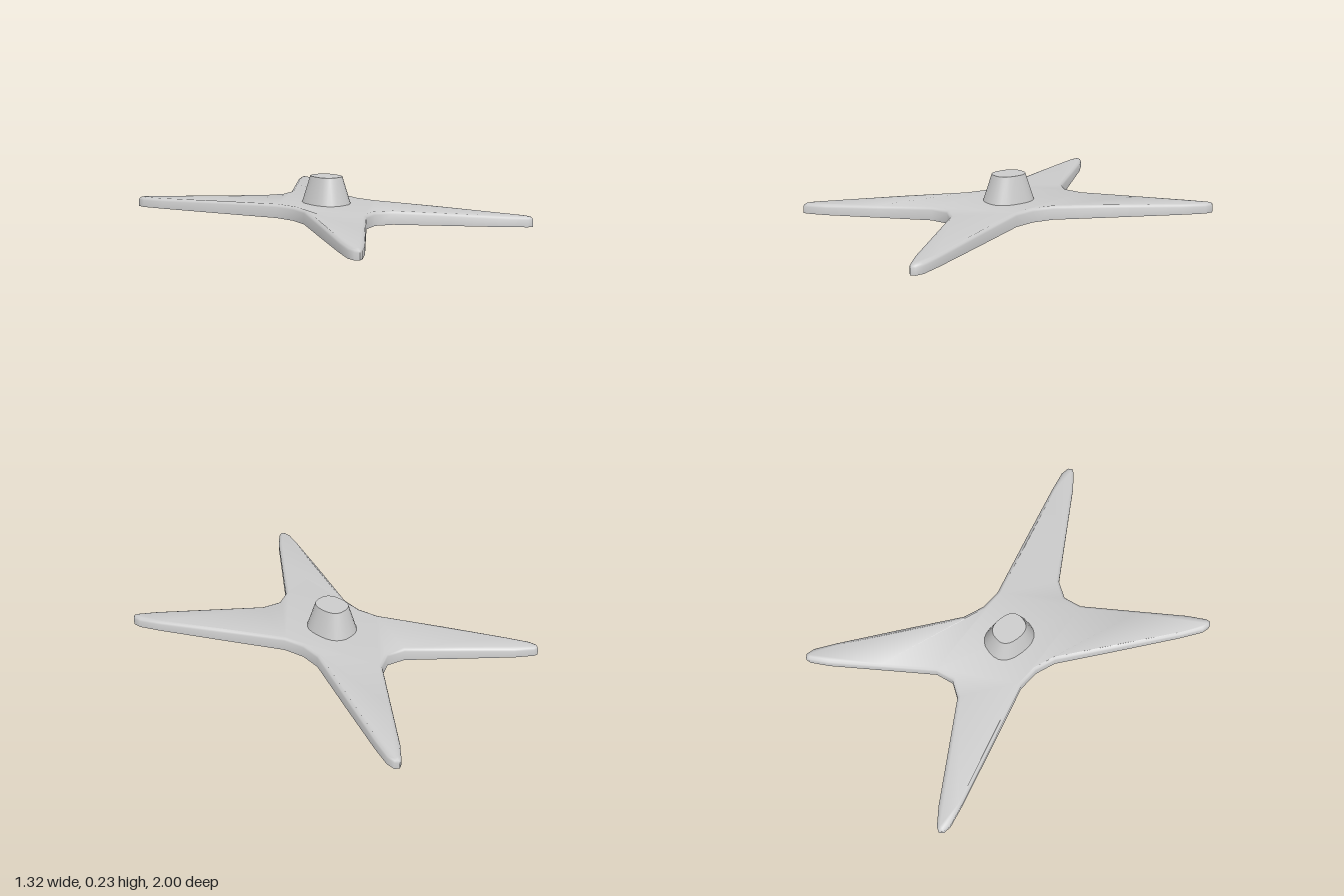
import * as THREE from 'three';
import { toCreasedNormals } from 'three/addons/utils/BufferGeometryUtils.js';

// One quarter of the base outline as [x, z], from the front notch to the side waist
const QUARTER = [
  [0, 0.415], [0.1, 0.455], [0.32, 0.69], [0.53, 0.915], [0.615, 0.99], [0.64, 1],
  [0.66, 0.98], [0.657, 0.93], [0.605, 0.81], [0.44, 0.47], [0.27, 0.125], [0.25, 0],
];

// Mirror the quarter into the full four-armed outline, counter-clockwise from above
function fullOutline() {
  const back = QUARTER.map(([x, z]) => [x, -z]).reverse();
  const half = [...QUARTER, ...back.slice(1)];
  const other = half.map(([x, z]) => [-x, z]).reverse();
  return [...half, ...other.slice(1, -1)].map(([x, z]) => new THREE.Vector2(x, z));
}

// Move every outline point inwards along its averaged normal
function inset(points, d) {
  const n = points.length;
  return points.map((p, i) => {
    const t = points[(i + 1) % n].clone().sub(p).normalize()
      .add(p.clone().sub(points[(i + n - 1) % n]).normalize()).normalize();
    return new THREE.Vector2(p.x + t.y * d, p.y - t.x * d);
  });
}

// Arms thin out towards their tips
const topHeight = (p) => 0.079 - 0.024 * THREE.MathUtils.smoothstep(p.length(), 0.2, 1.3);

function baseGeometry() {
  const outline = fullOutline();
  const rim = inset(outline, 0.005);
  const top = inset(outline, 0.018);
  const n = outline.length;
  const rings = [
    outline.map((p) => [p.x, 0, p.y]),
    outline.map((p) => [p.x, topHeight(p) - 0.017, p.y]),
    rim.map((p) => [p.x, topHeight(p) - 0.007, p.y]),
    top.map((p) => [p.x, topHeight(p), p.y]),
  ];
  const index = [];
  // Side wall and rounded upper edge
  for (let r = 0; r < rings.length - 1; r++) {
    for (let i = 0; i < n; i++) {
      const j = (i + 1) % n, a = r * n, b = a + n;
      index.push(a + i, a + j, b + j, a + i, b + j, b + i);
    }
  }
  // Flat underside and gently sloping top
  const cap = (points) => THREE.ShapeUtils.triangulateShape(
    points.map((p) => new THREE.Vector2(p.x, -p.y)), []);
  for (const [a, b, c] of cap(outline)) index.push(a, c, b);
  const last = (rings.length - 1) * n;
  for (const [a, b, c] of cap(top)) index.push(last + a, last + b, last + c);

  const geometry = new THREE.BufferGeometry();
  geometry.setAttribute('position', new THREE.Float32BufferAttribute(rings.flat(2), 3));
  geometry.setIndex(index);
  return toCreasedNormals(geometry, 1.1);
}

// Tapered post with a softly squared oval section
function postGeometry() {
  const geometry = new THREE.CylinderGeometry(1, 1.53, 0.16, 24);
  const pos = geometry.attributes.position;
  for (let i = 0; i < pos.count; i++) {
    const x = pos.getX(i), z = pos.getZ(i), r = Math.hypot(x, z);
    if (r < 1e-6) continue;
    const soft = (v) => Math.sign(v) * Math.pow(Math.abs(v / r), 0.8) * r;
    pos.setX(i, soft(x) * 0.078);
    pos.setZ(i, soft(z) * 0.097);
  }
  geometry.translate(0, 0.152, 0);
  return toCreasedNormals(geometry, 0.9);
}

export function createModel() {
  const group = new THREE.Group();
  group.name = 'fourArmBase';
  const material = new THREE.MeshStandardMaterial({ color: 0xcccccc });

  const base = new THREE.Mesh(baseGeometry(), material);
  base.name = 'fourArmFoot';
  const post = new THREE.Mesh(postGeometry(), material);
  post.name = 'centrePost';
  group.add(base, post);
  return group;
}
